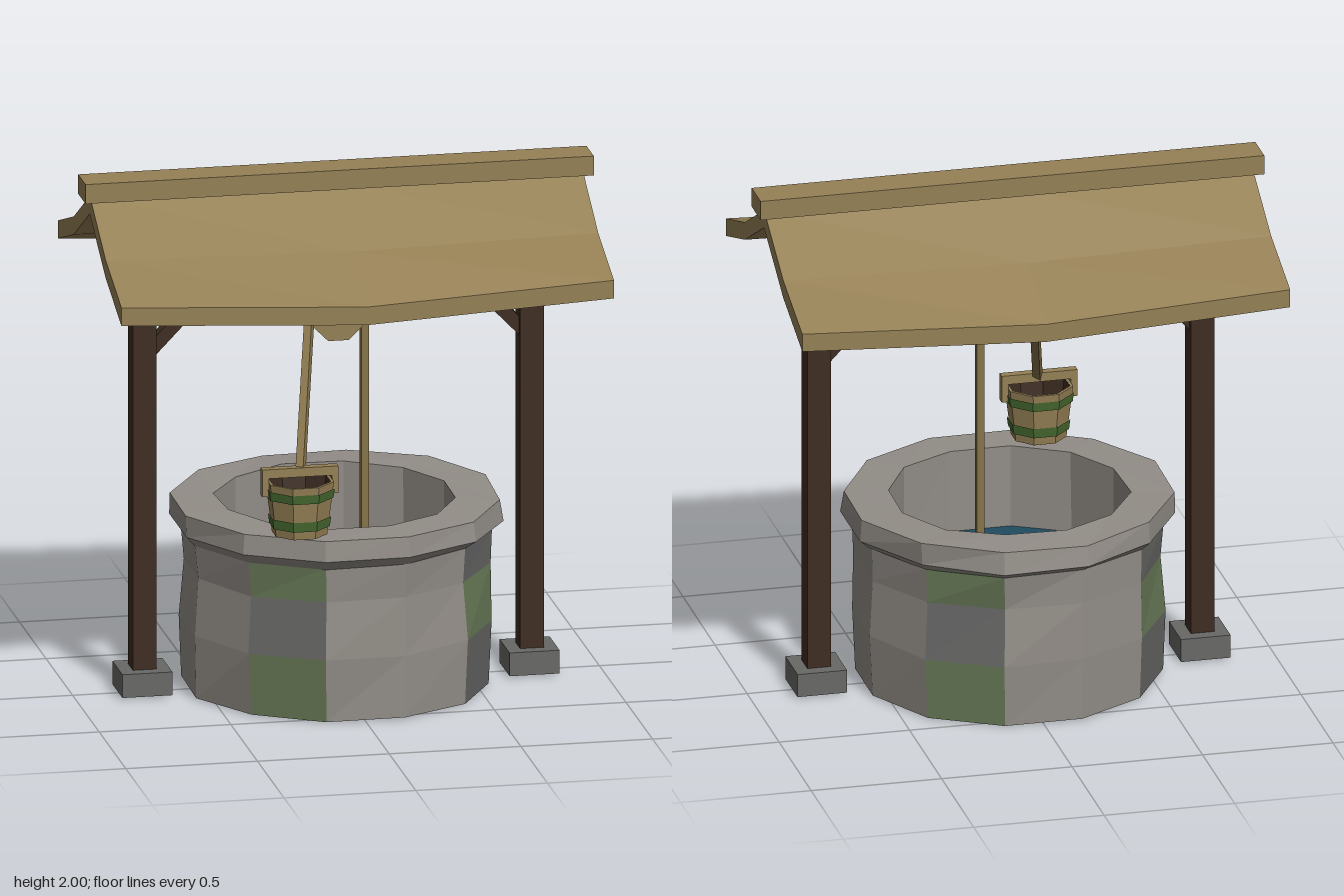
import * as THREE from 'three';

const mat = (name, color, side = THREE.FrontSide) =>
  new THREE.MeshStandardMaterial({ name, color, side, flatShading: true });

// Small seeded noise in -1..1
function noise(seed) {
  const s = Math.sin(seed * 127.1 + 3.7) * 43758.5453;
  return (s - Math.floor(s)) * 2 - 1;
}

// Non-indexed geometry from quads [a, b, c, d], counter-clockwise from outside
function quads(list) {
  const pos = [];
  for (const [a, b, c, d] of list) pos.push(...a, ...b, ...c, ...a, ...c, ...d);
  const g = new THREE.BufferGeometry();
  g.setAttribute('position', new THREE.Float32BufferAttribute(pos, 3));
  g.computeVertexNormals();
  return g;
}

export function createModel() {
  const D = THREE.DoubleSide;
  const wood = mat('light wood', 0x958055);
  const darkWood = mat('dark wood', 0x3e2d22, D);
  const rope = mat('rope', 0x86744a);
  const stone = mat('light stone', 0x928d87, D);
  const darkStone = mat('dark stone', 0x686867, D);
  const moss = mat('moss', 0x687a57, D);
  const water = mat('water', 0x1f4c60, D);
  const band = mat('bucket band', 0x46692f);

  const model = new THREE.Group();
  model.name = 'well';
  const add = (name, geo, material, parent = model) => {
    const m = new THREE.Mesh(geo, material);
    m.name = name;
    parent.add(m);
    return m;
  };
  const box = (name, w, h, d, x, y, z, material, parent) => {
    const m = add(name, new THREE.BoxGeometry(w, h, d), material, parent);
    m.position.set(x, y, z);
    return m;
  };
  // Bar stretched between two points
  const bar = (name, a, b, w, d, material) => {
    const from = new THREE.Vector3(...a), to = new THREE.Vector3(...b);
    const dir = to.clone().sub(from);
    const m = box(name, w, dir.length(), d, 0, 0, 0, material);
    m.position.copy(from).add(to).multiplyScalar(0.5);
    m.quaternion.setFromUnitVectors(new THREE.Vector3(0, 1, 0), dir.normalize());
    return m;
  };

  // Twelve-sided stone rings, slightly uneven
  const N = 12;
  const ringPoint = (profile, i, j, wobble, seed) => {
    const [r, y] = profile[j];
    const k = i % N, a = (k + 0.5) * Math.PI * 2 / N;
    const rr = r + noise(k * 7 + j * 31 + seed) * wobble;
    return [rr * Math.sin(a), y + noise(k * 13 + j * 5 + seed) * wobble * 0.6, rr * Math.cos(a)];
  };
  const ringQuad = (profile, i, j, wobble, seed) => [
    ringPoint(profile, i + N - 1, j, wobble, seed), ringPoint(profile, i, j, wobble, seed),
    ringPoint(profile, i, j + 1, wobble, seed), ringPoint(profile, i + N - 1, j + 1, wobble, seed)];

  // Outer wall: every third column alternates moss and dark stone
  const wallProfile = [[0.575, 0.008], [0.588, 0.25], [0.572, 0.47], [0.585, 0.61]];
  const courses = { stone: [], dark: [], moss: [] };
  for (let i = 0; i < N; i++) {
    for (let j = 0; j < 3; j++) {
      let kind = 'stone';
      if (i % 3 === 2) kind = ((i - 2) / 3 + j) % 2 === 1 ? 'moss' : 'dark';
      courses[kind].push(ringQuad(wallProfile, i, j, 0.008, 2));
    }
  }
  add('wallStones', quads(courses.stone), stone);
  add('wallDarkStones', quads(courses.dark), darkStone);
  add('wallMossStones', quads(courses.moss), moss);

  // Rim with inner shaft
  const rimProfile = [[0.55, 0.605], [0.587, 0.605], [0.622, 0.637], [0.618, 0.72], [0.452, 0.722], [0.45, 0.385]];
  const rim = [];
  for (let i = 0; i < N; i++)
    for (let j = 0; j < rimProfile.length - 1; j++) rim.push(ringQuad(rimProfile, i, j, 0.008, 9));
  add('rim', quads(rim), stone);

  const pool = add('water', new THREE.CircleGeometry(0.55, N, Math.PI / N).rotateX(-Math.PI / 2), water);
  pool.position.y = 0.4;

  // Posts, footings and braces
  for (const [side, s] of [['left', 1], ['right', -1]]) {
    box(side + 'Footing', 0.19, 0.09, 0.19, s * 0.735, 0.055, 0, darkStone);
    box(side + 'Post', 0.09, 1.665, 0.09, s * 0.735, 0.8375, 0, darkWood);
    bar(side + 'Brace', [s * 0.725, 1.31, 0], [s * 0.47, 1.575, 0], 0.05, 0.05, darkWood);
  }
  box('crossBeam', 1.67, 0.11, 0.1, 0, 1.585, 0, wood);

  // Sagging roof from cross-sections
  const roofProfile = [[-0.597, 1.67, 0.05], [-0.3, 1.77, 0.02], [0, 1.935, 0], [0.3, 1.77, 0.02], [0.597, 1.67, 0.05]];
  const roofPoint = (x, k, drop) => {
    const [z, y, sag] = roofProfile[k];
    return [x, y - drop - (x === 0 ? sag : 0), z];
  };
  const roof = [], xs = [-0.935, 0, 0.935], T = 0.07;
  for (let k = 0; k < 4; k++) {
    for (let i = 0; i < 2; i++) {
      const [a, b] = [xs[i], xs[i + 1]];
      roof.push([roofPoint(a, k, 0), roofPoint(a, k + 1, 0), roofPoint(b, k + 1, 0), roofPoint(b, k, 0)]);
      roof.push([roofPoint(a, k, T), roofPoint(b, k, T), roofPoint(b, k + 1, T), roofPoint(a, k + 1, T)]);
    }
    const [l, r] = [xs[0], xs[2]];
    roof.push([roofPoint(l, k, T), roofPoint(l, k + 1, T), roofPoint(l, k + 1, 0), roofPoint(l, k, 0)]);
    roof.push([roofPoint(r, k + 1, T), roofPoint(r, k, T), roofPoint(r, k, 0), roofPoint(r, k + 1, 0)]);
  }
  for (let i = 0; i < 2; i++) {
    const [a, b] = [xs[i], xs[i + 1]];
    roof.push([roofPoint(a, 4, T), roofPoint(b, 4, T), roofPoint(b, 4, 0), roofPoint(a, 4, 0)]);
    roof.push([roofPoint(b, 0, T), roofPoint(a, 0, T), roofPoint(a, 0, 0), roofPoint(b, 0, 0)]);
  }
  add('roof', quads(roof), wood);
  box('ridgeBeam', 1.93, 0.075, 0.14, 0, 1.9625, 0, wood);

  // Pulley with dark tread and light faces, hung from the beam
  const drum = new THREE.CylinderGeometry(0.103, 0.103, 0.1, 8, 1, false, Math.PI / 8).rotateX(Math.PI / 2);
  add('pulley', drum, [darkWood, wood, wood]).position.set(0, 1.43, 0);
  box('pulleyBracket', 0.16, 0.07, 0.06, 0, 1.505, 0, darkWood);

  // Ropes
  box('wellRope', 0.03, 1.04, 0.03, 0.108, 0.91, 0, rope);
  bar('bucketRope', [-0.1, 1.44, 0], [-0.235, 0.965, 0.495], 0.03, 0.03, rope);

  // Bucket
  const bucket = new THREE.Group();
  bucket.name = 'bucket';
  bucket.position.set(-0.238, 0, 0.493);
  model.add(bucket);
  const radiusAt = y => 0.105 + (y - 0.73) * 0.125;
  const tub = (name, y0, y1, grow, material, open) => {
    const g = new THREE.CylinderGeometry(radiusAt(y1) + grow, radiusAt(y0) + grow, y1 - y0, 8, 1, open, Math.PI / 8);
    add(name, g, material, bucket).position.y = (y0 + y1) / 2;
  };
  tub('staves', 0.73, 0.935, 0, wood, true);
  tub('inside', 0.735, 0.934, -0.012, darkWood, true);
  tub('bucketFloor', 0.731, 0.76, -0.006, darkWood, false);
  tub('lowerBand', 0.762, 0.8, 0.006, band, true);
  tub('upperBand', 0.873, 0.908, 0.006, band, true);
  const lip = new THREE.RingGeometry(radiusAt(0.935) - 0.012, radiusAt(0.935), 8, 1, Math.PI / 8).rotateX(-Math.PI / 2);
  add('lip', lip, wood, bucket).position.y = 0.935;

  // Bucket handle
  box('handleBar', 0.29, 0.035, 0.035, 0, 0.968, 0, wood, bucket);
  for (const s of [-1, 1]) box('handleArm', 0.025, 0.105, 0.035, s * 0.1325, 0.933, 0, wood, bucket);

  return model;
}
